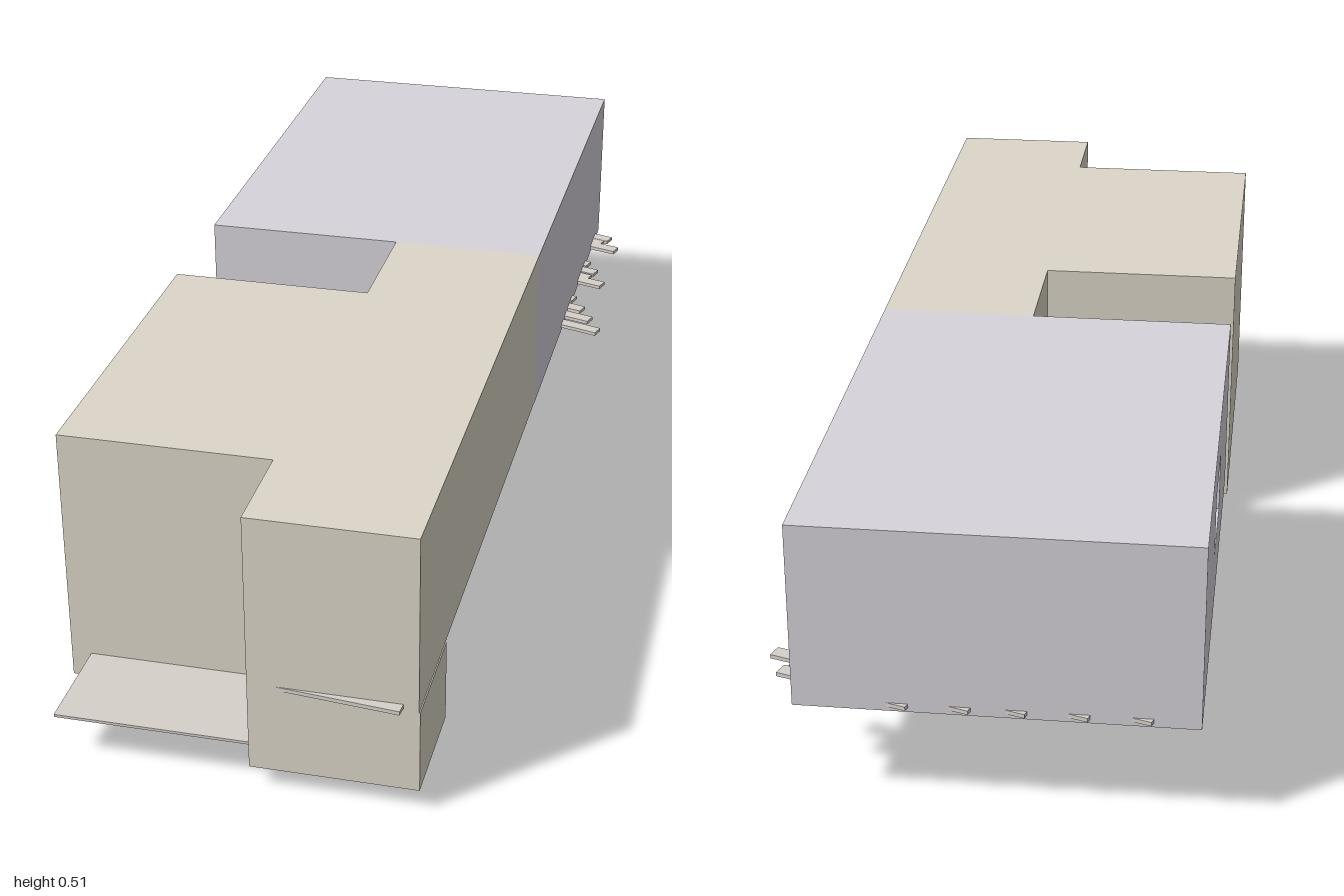
import * as THREE from 'three';

const mat = (color) => new THREE.MeshStandardMaterial({ color, side: THREE.DoubleSide, flatShading: true });

export function createModel() {
  const model = new THREE.Group();
  const beige = mat(0xdcd7c9), lavender = mat(0xd8d4dc), grey = mat(0xd6d0ca), brown = mat(0xada091);

  // box given by its limits on each axis
  const block = (name, m, [x0, x1], [y0, y1], [z0, z1], parent = model) => {
    const mesh = new THREE.Mesh(new THREE.BoxGeometry(x1 - x0, y1 - y0, z1 - z0), m);
    mesh.position.set((x0 + x1) / 2, (y0 + y1) / 2, (z0 + z1) / 2);
    mesh.name = name;
    parent.add(mesh);
    return mesh;
  };
  // four thin walls around an open rectangle
  const rim = (name, m, [x0, x1], y, [z0, z1], t = 0.015) => {
    const g = new THREE.Group();
    g.name = name;
    block('leftWall', m, [x1 - t, x1], y, [z0, z1], g);
    block('rightWall', m, [x0, x0 + t], y, [z0, z1], g);
    block('frontWall', m, [x0 + t, x1 - t], y, [z1 - t, z1], g);
    block('backWall', m, [x0 + t, x1 - t], y, [z0, z0 + t], g);
    model.add(g);
  };

  // front volumes
  block('upperWing', beige, [0, 0.283], [0.192, 0.512], [-0.1, 0.975]);
  block('sideWing', beige, [-0.37, 0], [0.085, 0.512], [0.14, 0.79]);
  rim('sideWingSkirt', beige, [-0.37, 0.003], [0.04, 0.085], [0.14, 0.79]);
  rim('entrancePier', beige, [0, 0.285], [0.04, 0.192], [0.77, 0.975]);

  // recessed ground floor wall, soffit and balcony floors
  block('recessedWall', grey, [-0.015, 0.001], [0.085, 0.192], [-0.09, 0.77]);
  block('wallBase', beige, [-0.015, 0.002], [0.04, 0.085], [-0.085, 0.157]);
  block('backBalcony', grey, [-0.335, 0], [0.082, 0.087], [-0.1, 0.14]);
  block('frontBalcony', grey, [-0.335, 0], [0.082, 0.087], [0.79, 0.973]);
  block('soffit', brown, [0.002, 0.268], [0.19, 0.193], [-0.085, 0.768]);
  block('soffitLamp', brown, [0, 0.035], [0.18, 0.192], [0.16, 0.24]);

  // cantilevered back volume, with a window cut in its right wall
  const t = 0.02;
  block('backVolume', lavender, [-0.37 + t, 0.283], [0.196, 0.512], [-0.99, -0.1]);
  const wall = new THREE.Shape([[-0.99, 0.196], [-0.1, 0.196], [-0.1, 0.512], [-0.99, 0.512]]
    .map(([z, y]) => new THREE.Vector2(z, y)));
  wall.holes.push(new THREE.Path([[-0.635, 0.31], [-0.635, 0.42], [-0.46, 0.42], [-0.46, 0.31]]
    .map(([z, y]) => new THREE.Vector2(z, y))));
  const windowWall = new THREE.Mesh(new THREE.ExtrudeGeometry(wall, { depth: t, bevelEnabled: false }), lavender);
  windowWall.rotation.y = -Math.PI / 2;
  windowWall.position.x = -0.37 + t;
  windowWall.name = 'windowWall';
  model.add(windowWall);
  block('windowRail', lavender, [-0.362, -0.35], [0.362, 0.37], [-0.635, -0.46]);
  block('windowMullion', lavender, [-0.362, -0.35], [0.37, 0.42], [-0.552, -0.543]);
  rim('cantileverRim', lavender, [-0.37, 0.283], [0.19, 0.197], [-0.99, -0.1]);

  // thin floor slats poking out of the walls, placed by the tip
  const slat = (x, z, angle, length, width) => {
    const m = new THREE.Mesh(new THREE.BoxGeometry(length, 0.007, width), grey);
    m.position.set(x - Math.cos(angle) * length / 2, 0.201, z - Math.sin(angle) * length / 2);
    m.rotation.y = -angle;
    m.name = 'slat';
    model.add(m);
  };
  const sideTips = [
    [0.32, -0.907], [0.305, -0.883], [0.342, -0.853],
    [0.293, -0.76], [0.315, -0.72], [0.305, -0.69], [0.338, -0.66],
    [0.29, -0.572], [0.315, -0.525], [0.338, -0.478], [0.362, -0.427],
  ];
  for (const [x, z] of sideTips) slat(x, z, 0.3, 0.12, 0.026);
  for (const x of [-0.243, -0.143, -0.053]) slat(x, -0.088, 0.4, 0.11, 0.026);
  for (const x of [-0.29, -0.19, -0.09, 0, 0.1]) slat(x + 0.1, -0.955, 0.3, 0.11, 0.026);
  slat(0.257, 0.985, 0.1, 0.25, 0.022);

  // sloped stair side under the side wing
  const stair = new THREE.Shape([[-0.287, 0], [-0.255, 0], [-0.138, 0.085], [-0.287, 0.085]]
    .map(([x, y]) => new THREE.Vector2(x, y)));
  const stairSide = new THREE.Mesh(new THREE.ExtrudeGeometry(stair, { depth: 0.008, bevelEnabled: false }), brown);
  stairSide.position.z = 0.227;
  stairSide.name = 'stairSide';
  model.add(stairSide);

  return model;
}
